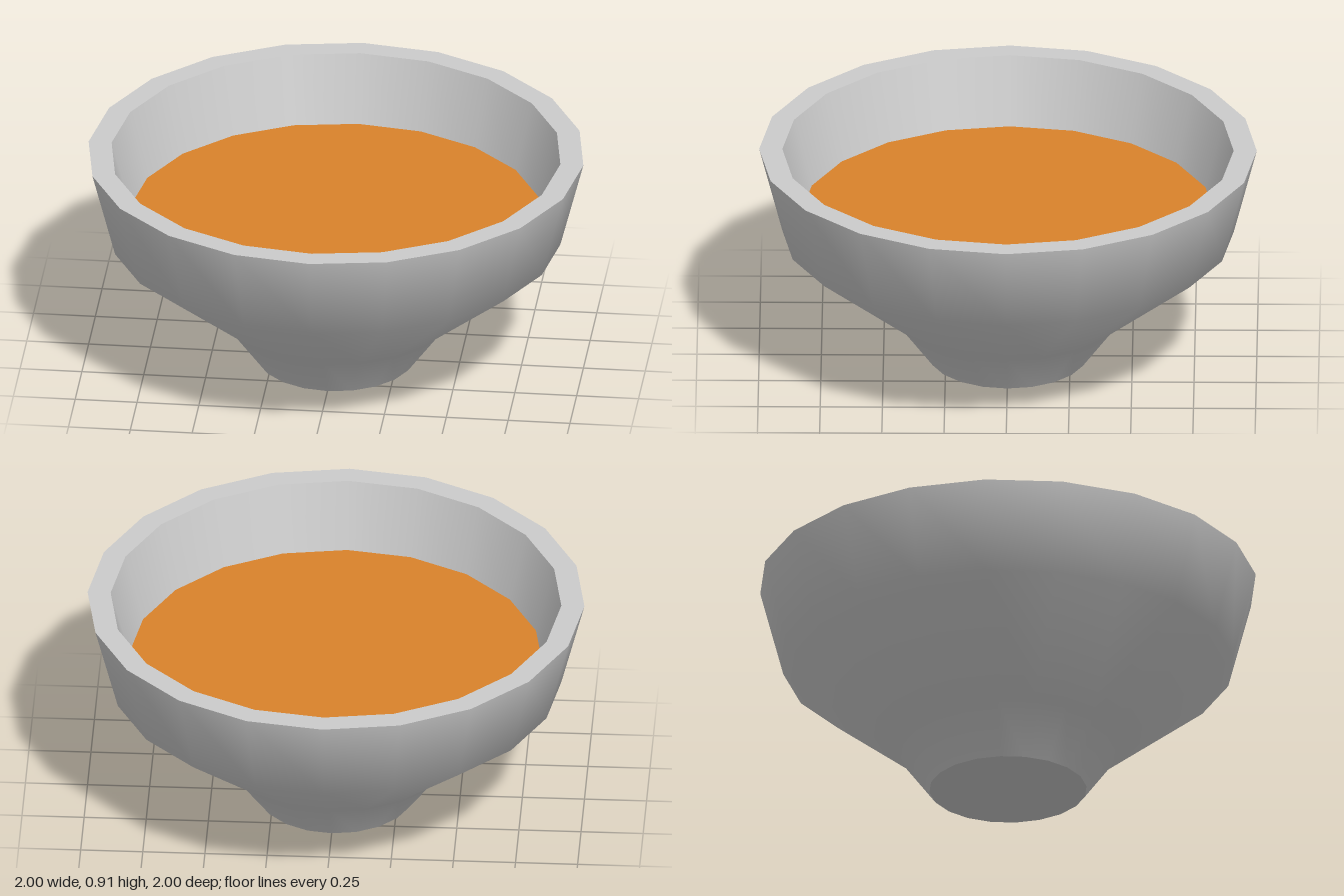
import * as THREE from 'three';

const SIDES = 20;

// Profiles run base centre -> outside -> rim -> inside, so faces point outward.
function turned(name, profile, color = 0xcccccc) {
  const points = profile.map(([r, y]) => new THREE.Vector2(r, y));
  const mesh = new THREE.Mesh(
    new THREE.LatheGeometry(points, SIDES),
    new THREE.MeshStandardMaterial({ color })
  );
  mesh.name = name;
  return mesh;
}

export function createModel() {
  const model = new THREE.Group();
  model.name = 'bowlOfSoup';

  // Bowl: separate surfaces keep the rim and base edges sharp
  const bowl = new THREE.Group();
  bowl.name = 'bowl';
  bowl.add(
    turned('base', [[0, 0], [0.317, 0]]),
    turned('outerWall', [[0.317, 0], [0.457, 0.19], [0.907, 0.55], [1, 0.91]]),
    turned('rim', [[1, 0.91], [0.907, 0.91]]),
    turned('innerWall', [[0.907, 0.91], [0.81, 0.55]]),
    turned('innerFloor', [[0.81, 0.55], [0.38, 0.21], [0, 0.21]])
  );

  // Soup: flat disc meeting the inner wall
  const soup = turned('soup', [[0.832, 0.63], [0, 0.63]], 0xd9822b);

  model.add(bowl, soup);
  return model;
}
